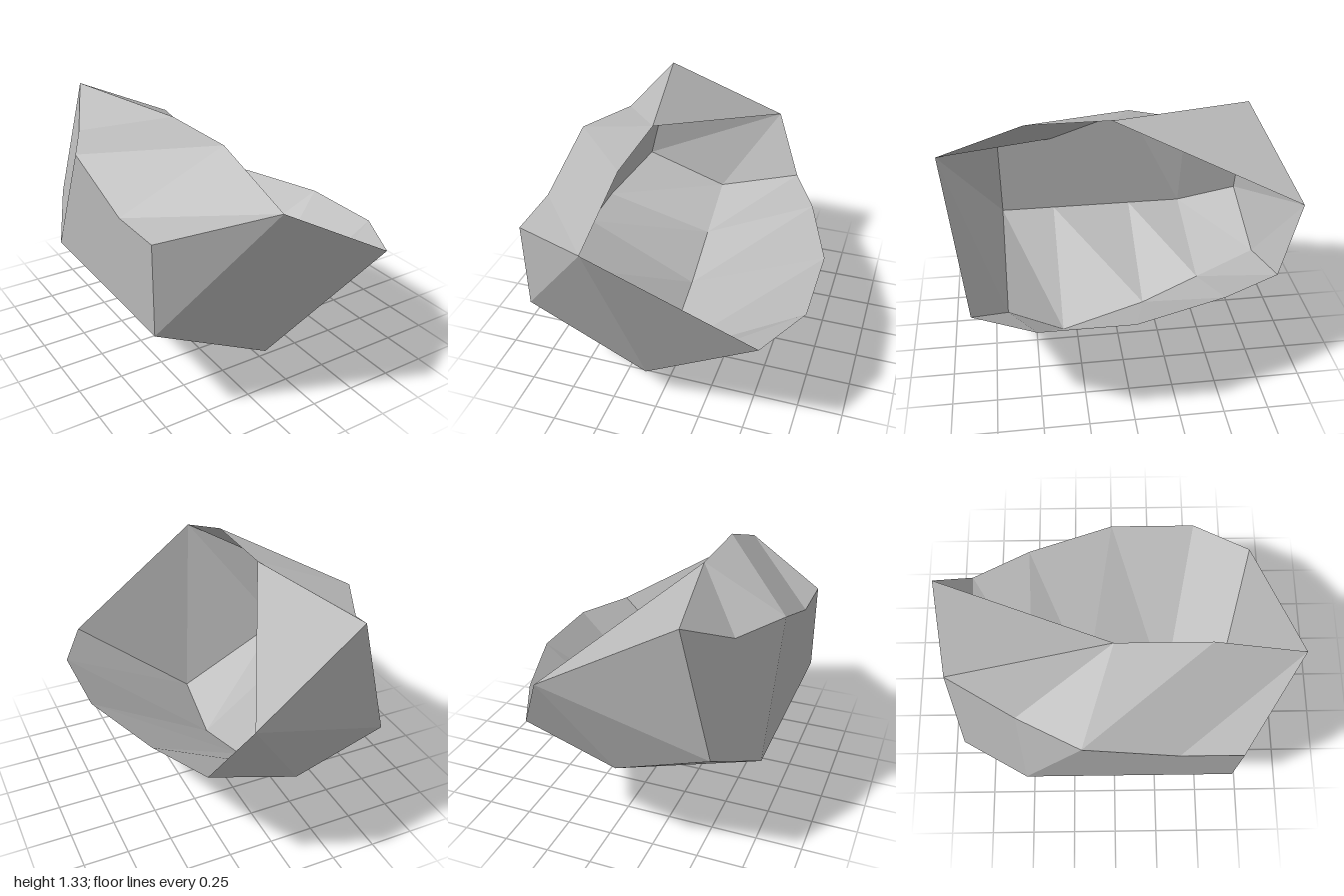
import * as THREE from 'three';

// Lengthwise chains of points, front to back, on a grid of 12 steps per unit
const apex = [-3, 14, 12];
const tail = [3, 12, -12];
const rim = [[7, 8, 10], [9, 8, 6], [9, 8, 0], [7, 8, -6], [5, 8, -10]];
const keel = [[-1, 2, 8], [-1, 0, 4], [-1, 2, -2], [-1, 4, -6], [-1, 6, -10]];
const chine = [[-9, 6, 8], [-9, 6, 4], [-9, 6, -2], [-9, 6, -6], [-7, 8, -10]];
const shoulder = [[-9, 12, 8], [-9, 12, 4], [-9, 14, -2], [-7, 14, -6], [-5, 16, -10]];
const ridge = [apex, apex, [-3, 16, 6], [-3, 16, 0], [-3, 16, 0]];

// Triangles joining two chains, skipping collapsed ones
function strip(a, b, flip) {
  const tris = [];
  for (let i = 0; i < a.length - 1; i++) {
    tris.push([a[i], b[i], b[i + 1]], [a[i], b[i + 1], a[i + 1]]);
  }
  return tris
    .filter(([, p, q]) => p.some((v, k) => v !== q[k]))
    .map(([p, q, r]) => (flip ? [p, r, q] : [p, q, r]));
}

// Triangles fanned around one point
function fan(centre, points) {
  return points.slice(1).map((p, i) => [centre, points[i], p]);
}

function addPart(group, name, tris, material) {
  const geometry = new THREE.BufferGeometry();
  const positions = tris.flat(2).map((v) => v / 12);
  geometry.setAttribute('position', new THREE.Float32BufferAttribute(positions, 3));
  geometry.computeVertexNormals();
  const mesh = new THREE.Mesh(geometry, material);
  mesh.name = name;
  group.add(mesh);
}

export function createModel() {
  const group = new THREE.Group();
  group.name = 'hollowRock';

  // Thin open shell, visible inside and out
  const stone = new THREE.MeshStandardMaterial({ color: 0xb8b8b8, side: THREE.DoubleSide, flatShading: true });
  stone.name = 'grey stone';

  addPart(group, 'openSideSlope', strip(keel, rim, true), stone);
  addPart(group, 'underside', strip(chine, keel, true), stone);
  addPart(group, 'closedSideWall', strip(shoulder, chine, true), stone);
  addPart(group, 'roof', [
    ...strip(shoulder, ridge, false),
    [shoulder[4], ridge[4], tail],
  ], stone);
  addPart(group, 'frontWall', fan(apex, [shoulder[0], chine[0], keel[0], rim[0]]), stone);
  addPart(group, 'backWall', fan(tail, [rim[4], keel[4], chine[4], shoulder[4]]), stone);
  return group;
}
